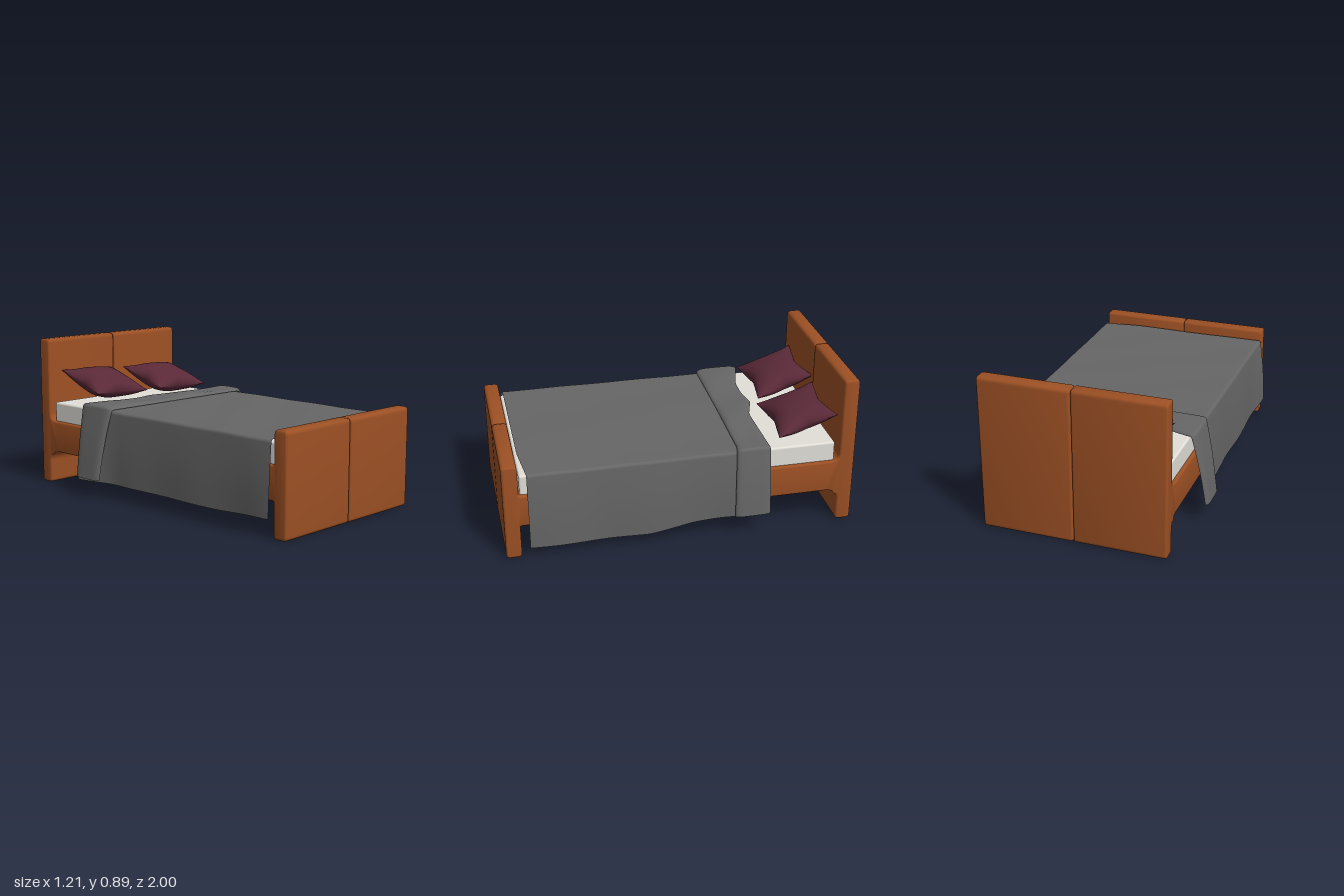
import * as THREE from 'three';
import { toCreasedNormals } from 'three/addons/utils/BufferGeometryUtils.js';
import { RoundedBoxGeometry } from 'three/addons/geometries/RoundedBoxGeometry.js';

const { lerp, smoothstep, clamp } = THREE.MathUtils;

function material(name, color, side = THREE.FrontSide) {
  const m = new THREE.MeshStandardMaterial({ color, side });
  m.name = name;
  return m;
}

function mesh(name, geometry, mat) {
  const m = new THREE.Mesh(geometry, mat);
  m.name = name;
  return m;
}

// Smooth surface through rows of points (rows run towards +z, points towards +x)
function sheet(rows) {
  const n = rows[0].length, index = [];
  for (let i = 0; i < rows.length - 1; i++) {
    for (let j = 0; j < n - 1; j++) {
      const a = i * n + j, b = a + n;
      index.push(a, b, a + 1, b, b + 1, a + 1);
    }
  }
  const g = new THREE.BufferGeometry().setFromPoints(rows.flat());
  g.setIndex(index);
  g.computeVertexNormals();
  return g;
}

// Piecewise linear lookup in [[x, value], ...]
function lookup(table, x) {
  for (let i = 1; i < table.length; i++) {
    const [x0, v0] = table[i - 1], [x1, v1] = table[i];
    if (x <= x1) return lerp(v0, v1, clamp((x - x0) / (x1 - x0), 0, 1));
  }
  return table[table.length - 1][1];
}

// Polygon whose corners [x, y, radius] are rounded
function roundedShape(corners) {
  const s = new THREE.Shape();
  corners.forEach(([x, y, r], i) => {
    const toward = (k) => {
      const q = corners[(k + corners.length) % corners.length];
      return new THREE.Vector2(q[0] - x, q[1] - y).setLength(r).add(new THREE.Vector2(x, y));
    };
    const p = toward(i - 1), q = toward(i + 1);
    if (i === 0) s.moveTo(p.x, p.y); else s.lineTo(p.x, p.y);
    s.quadraticCurveTo(x, y, q.x, q.y);
  });
  s.closePath();
  return s;
}

// One half of the frame: headboard, base and footboard in a single profile
function frameHalf(x0, x1) {
  const shape = roundedShape([
    [-1, 0, 0.022], [-0.912, 0, 0.022], [-0.912, 0.2, 0.012],
    [0.87, 0.2, 0.03], [0.912, 0.165, 0.03], [0.912, 0, 0.022],
    [1, 0, 0.022], [1, 0.89, 0.025], [0.912, 0.89, 0.025],
    [0.912, 0.39, 0.045], [-0.912, 0.39, 0.012], [-0.912, 0.575, 0.025], [-1, 0.575, 0.025],
  ]);
  const bevel = 0.012;
  const g = new THREE.ExtrudeGeometry(shape, {
    depth: x1 - x0 - 2 * bevel, curveSegments: 5,
    bevelSize: bevel, bevelThickness: bevel, bevelOffset: -bevel, bevelSegments: 3,
  });
  g.rotateY(Math.PI / 2).translate(x0 + bevel, 0, 0);
  return toCreasedNormals(g, 0.65);
}

// Cross-section of a draped cloth: left hem, over the mattress, right hem
function drapeSection(left, right, top, lift) {
  const r = 0.018, pts = [];
  const side = (hem, cornerX, sign) => {
    const out = [];
    for (let k = 0; k <= 8; k++) {
      const t = k / 8;
      out.push([lerp(hem[0], cornerX, t) + sign * 0.006 * Math.sin(t * Math.PI), lerp(hem[1], top - r, t)]);
    }
    for (let k = 1; k <= 4; k++) {
      const a = k / 4 * Math.PI / 2;
      out.push([cornerX - sign * r * (1 - Math.cos(a)), top - r + r * Math.sin(a)]);
    }
    return out;
  };
  const l = side(left, -0.513 - lift, -1), rr = side(right, 0.543 + lift, 1).reverse();
  pts.push(...l);
  for (let k = 1; k < 24; k++) pts.push([lerp(l.at(-1)[0], rr[0][0], k / 24), top]);
  return pts.concat(rr);
}

function blanket() {
  const head = [[-0.55, -0.56], [-0.5, -0.57], [-0.25, -0.51], [0, -0.51], [0.1, -0.48], [0.56, -0.49]];
  const foot = [[-0.54, 0.91], [-0.49, 0.89], [0.3, 0.89], [0.54, 0.865]];
  const rows = [];
  for (let i = 0; i <= 48; i++) {
    const v = i / 48, z = lerp(-0.5, 0.88, v);
    const flare = 1 - smoothstep(z, -0.5, -0.2);
    const left = [-0.53 - 0.055 * flare - 0.012 * smoothstep(z, 0.65, 0.88) + 0.004 * Math.sin(z * 13), 0.09 + 0.02 * smoothstep(z, 0.5, 0.88)];
    const right = [0.553 + 0.025 * flare + 0.006 * Math.sin(z * 11),
      lookup([[-0.5, 0.125], [-0.05, 0.1], [0.2, 0.062], [0.9, 0.06]], z)];
    rows.push(drapeSection(left, right, 0.518, 0).map(([x, y]) => {
      const wave = y > 0.5 ? 0.002 * Math.sin(x * 9 + z * 6) * Math.sin(z * 8) : 0;
      return new THREE.Vector3(x, y + wave, lerp(lookup(head, x), lookup(foot, x), v));
    }));
  }
  return sheet(rows);
}

// Turned-back band near the pillows, with rolled edges
function blanketFold() {
  const back = [[-0.6, -0.56], [-0.51, -0.59], [-0.3, -0.53], [-0.15, -0.525], [-0.03, -0.545], [0.12, -0.495], [0.6, -0.5]];
  const front = [[-0.6, -0.37], [-0.5, -0.33], [0, -0.325], [0.5, -0.315], [0.6, -0.29]];
  const rows = [];
  for (let i = 0; i <= 20; i++) {
    const v = (1 - Math.cos(i / 20 * Math.PI)) / 2;
    const lift = 0.018 * Math.pow(Math.max(0, 1 - Math.pow(2 * v - 1, 6)), 0.5);
    const left = [-0.588 - lift, 0.11], right = [0.583 + lift, 0.13];
    rows.push(drapeSection(left, right, 0.522 + lift, lift).map(([x, y]) => {
      const wave = y > 0.5 ? 0.007 * Math.sin(x * 12) * Math.sin(v * Math.PI) : 0;
      return new THREE.Vector3(x, y + wave, lerp(lookup(back, x), lookup(front, x), v));
    }));
  }
  return sheet(rows);
}

// Cushion with pinched sides and pointed corners; sign picks the upper or lower cover
function pillowCover(sign) {
  const n = 24, rows = [];
  for (let i = 0; i <= n; i++) {
    const row = [];
    for (let j = 0; j <= n; j++) {
      const u = sign * Math.sin((j / n - 0.5) * Math.PI), v = Math.sin((i / n - 0.5) * Math.PI);
      const puff = Math.pow(Math.max(0, (1 - u * u) * (1 - v * v)), 0.55);
      const crease = 1 + 0.07 * Math.sin(u * 7 + v * 4) * (u * u + v * v) / 2;
      row.push(new THREE.Vector3(
        0.208 * u * (1 - 0.2 * (1 - Math.abs(v)) * u * u),
        sign * 0.075 * puff * crease + 0.012 * u * u * v * v,
        0.178 * v * (1 - 0.2 * (1 - Math.abs(u)) * v * v)));
    }
    rows.push(row);
  }
  return sheet(rows);
}

function pillow(name, mat) {
  const g = new THREE.Group();
  g.name = name;
  g.add(mesh('pillowTop', pillowCover(1), mat), mesh('pillowBottom', pillowCover(-1), mat));
  return g;
}

export function createModel() {
  const wood = material('orange wood', 0x9c5024);
  const linen = material('white linen', 0xe2dfd8);
  const cloth = material('grey cloth', 0x666666, THREE.DoubleSide);
  const wine = material('wine fabric', 0x5a2938);

  const bed = new THREE.Group();
  bed.name = 'bed';
  bed.add(mesh('frameRight', frameHalf(-0.51, 0.0125), wood));
  bed.add(mesh('frameLeft', frameHalf(0.0175, 0.54), wood));

  const mattress = mesh('mattress', new RoundedBoxGeometry(1.01, 0.205, 1.79, 3, 0.012), linen);
  mattress.position.set(0.015, 0.4025, 0.01);
  bed.add(mattress);

  bed.add(mesh('blanket', blanket(), cloth), mesh('blanketFold', blanketFold(), cloth));

  const pillowRight = pillow('pillowRight', wine);
  pillowRight.position.set(-0.208, 0.615, -0.748);
  pillowRight.rotation.set(0.33, 0.02, -0.06);
  const pillowLeft = pillow('pillowLeft', wine);
  pillowLeft.position.set(0.28, 0.6, -0.73);
  pillowLeft.rotation.set(0.3, 0.02, -0.04);
  bed.add(pillowRight, pillowLeft);
  return bed;
}
